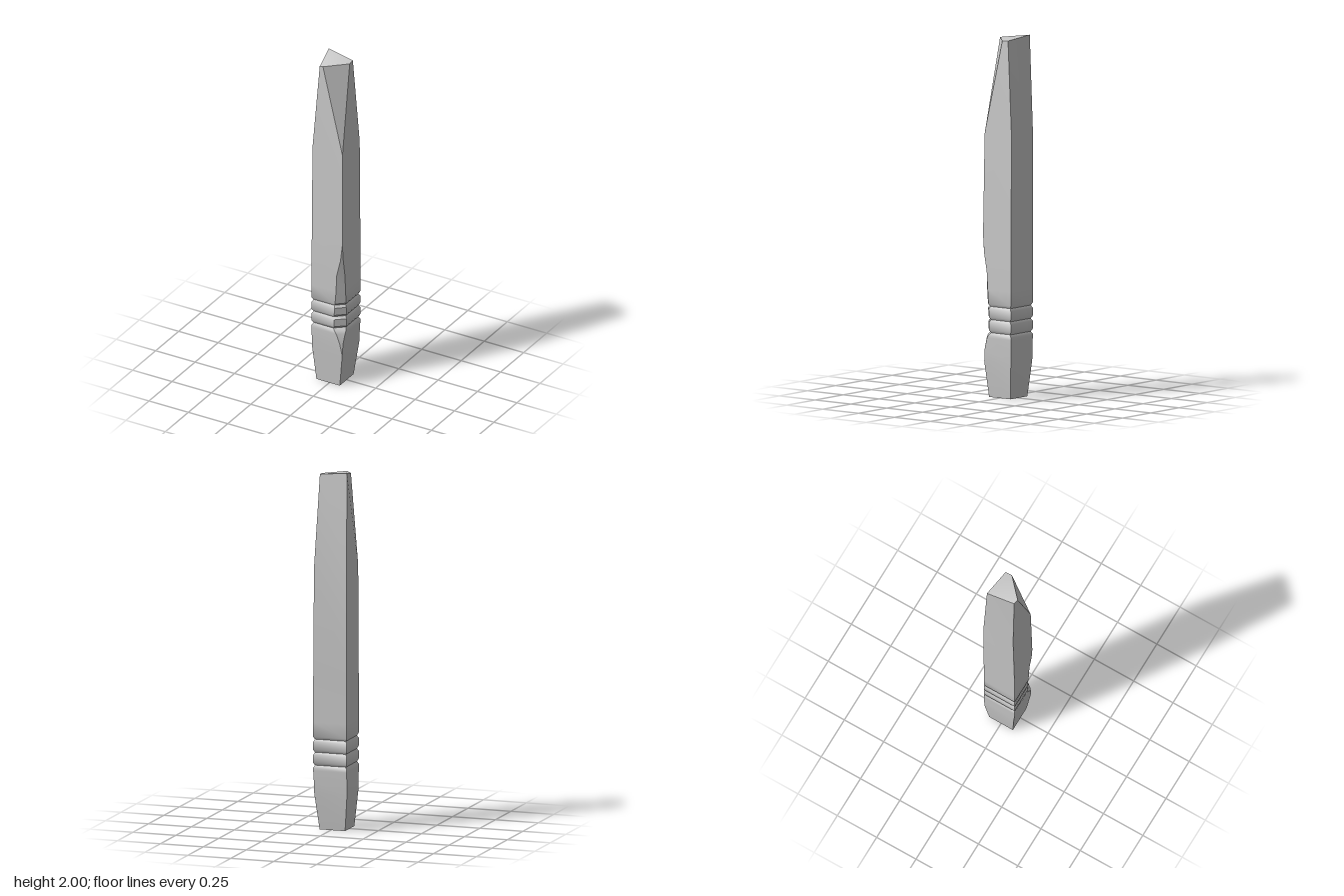
import * as THREE from 'three';
import { toCreasedNormals } from 'three/addons/utils/BufferGeometryUtils.js';

// Cross-section at height y: back-left, back-right, chipped corner (two points), front-left
function section(y, x0, x1, z0, z1, chipX = 0, chipZ = 0) {
  return [[x0, y, z0], [x1, y, z0], [x1, y, z1 - chipZ], [x1 - chipX, y, z1], [x0, y, z1]];
}

// Loft closed rings, capped at both ends
function loft(rings) {
  const n = rings[0].length, index = [];
  for (let i = 0; i < rings.length - 1; i++) {
    for (let j = 0; j < n; j++) {
      const a = i * n + j, b = i * n + (j + 1) % n, c = b + n, d = a + n;
      index.push(a, d, c, a, c, b);
    }
  }
  const t = (rings.length - 1) * n;
  for (let j = 1; j < n - 1; j++) {
    index.push(0, j, j + 1);
    index.push(t, t + j + 1, t + j);
  }
  const g = new THREE.BufferGeometry();
  g.setAttribute('position', new THREE.Float32BufferAttribute(rings.flat(2), 3));
  g.setIndex(index);
  return toCreasedNormals(g, 0.6);
}

export function createModel() {
  const group = new THREE.Group();
  group.name = 'woodenPost';

  // Depth of the chip along the front-left edge: [y, along x, along z]
  const chip = [[0.2, 0, 0], [0.27, 0.014, 0.01], [0.33, 0.038, 0.03], [0.355, 0.054, 0.045],
    [0.45, 0.052, 0.045], [0.6, 0.04, 0.035], [0.7, 0.036, 0.028], [0.8, 0.012, 0.01], [0.9, 0, 0]];
  const chipAt = (y) => {
    const k = chip.findIndex((c) => c[0] >= y);
    if (k < 1) return [0, 0];
    const f = (y - chip[k - 1][0]) / (chip[k][0] - chip[k - 1][0]);
    return [1, 2].map((m) => THREE.MathUtils.lerp(chip[k - 1][m], chip[k][m], f));
  };
  const shaft = (y, inset = 0) =>
    section(y, -0.1 + inset, 0.095 - inset, -0.099 + inset, 0.097 - inset, ...chipAt(y));

  // Tapered foot
  const rings = [
    section(0, -0.082, 0.066, -0.075, 0.075),
    section(0.2, -0.1, 0.09, -0.095, 0.09),
    section(0.27, -0.1, 0.092, -0.097, 0.095, ...chipAt(0.27)),
    shaft(0.33),
  ];
  // Rope grooves around the lower shaft
  for (const y of [0.36, 0.432, 0.505]) {
    rings.push(shaft(y - 0.014), shaft(y, 0.008), shaft(y + 0.014));
  }
  // Plain shaft up to the shoulder
  for (const y of [0.6, 0.7, 0.8]) rings.push(shaft(y));
  rings.push(section(0.9, -0.1, 0.094, -0.1, 0.095));
  rings.push(section(1.46, -0.1, 0.09, -0.1, 0.087));
  // Uneven top with one split corner
  rings.push([[-0.095, 2, -0.082], [0.07, 1.982, -0.06], [0.072, 1.98, -0.022],
    [-0.038, 1.98, 0.08], [-0.063, 1.972, 0.072]]);

  const post = new THREE.Mesh(loft(rings), new THREE.MeshStandardMaterial({ color: 0xcccccc }));
  post.name = 'post';
  group.add(post);
  return group;
}
